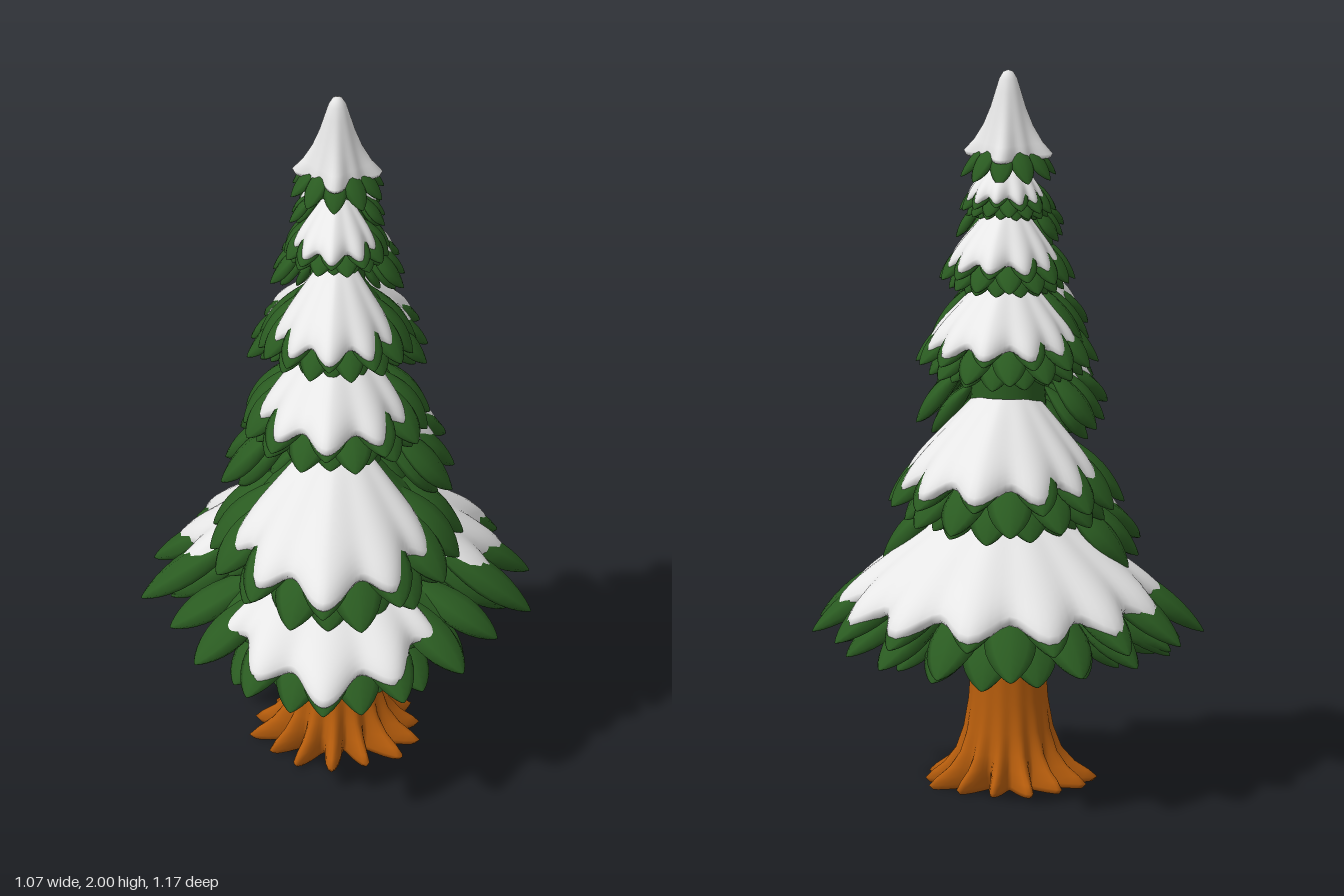
import * as THREE from 'three';
import { mergeVertices, mergeGeometries } from 'three/addons/utils/BufferGeometryUtils.js';

const rad = Math.PI / 180;
const mix = (a, b, t) => a + (b - a) * t;
const STEP = 24 * rad; // angle between neighbouring boughs

// Smooth surface from a rule giving a point for each row i and column j
function grid(ni, nj, point) {
  const pos = [], index = [];
  for (let i = 0; i <= ni; i++) for (let j = 0; j <= nj; j++) pos.push(...point(i / ni, j / nj));
  for (let i = 0; i < ni; i++) {
    for (let j = 0; j < nj; j++) {
      const a = i * (nj + 1) + j, b = a + 1, c = a + nj + 1, d = c + 1;
      index.push(a, b, c, b, d, c);
    }
  }
  let g = new THREE.BufferGeometry();
  g.setAttribute('position', new THREE.Float32BufferAttribute(pos, 3));
  g.setIndex(index);
  g = mergeVertices(g, 1e-4);
  g.computeVertexNormals();
  return g;
}

// Radius and height along a bough of a tier: t = 0 at the trunk, 1 at the tip
function bough(tier, phi, t) {
  const s = Math.pow(Math.sin(Math.min(Math.abs(phi), Math.PI / 2)), tier.round);
  const R = mix(tier.R, tier.sideR, s), yTip = mix(tier.y, tier.sideY, s);
  return [mix(0.12 * tier.R, R, t), mix(tier.top, yTip, t)];
}

// Pointed, ridged leaf following a bough
function leaf(tier, phi, width, start) {
  return grid(12, 8, (u, v) => {
    const q = Math.sin((u * Math.PI) / 2); // finer steps toward the tip
    const [r, y] = bough(tier, phi, mix(start, 1.02, q));
    const w = width * Math.pow(Math.max(0, Math.sin(Math.PI * Math.pow(mix(0.05, 1, q), 1.4))), 0.75);
    const a = v * 2 * Math.PI, side = w * Math.cos(a), up = Math.sin(a);
    const h = w * (up > 0 ? 0.5 * up ** 1.3 : 0.42 * up);
    const rr = r + h * 0.45;
    return [rr * Math.sin(phi) + side * Math.cos(phi), y + h, rr * Math.cos(phi) - side * Math.sin(phi)];
  });
}

// Thick fan-shaped sheet with a lobed rim lying over a tier
function fan(tier, { spread, from, reach, fall, lobe, thick, lift }) {
  return grid(72, 18, (u, v) => {
    const k = 2 * u - 1, phi = k * spread;
    const wave = Math.cos((2 * Math.PI * phi) / STEP);
    const ext = (reach - fall * Math.abs(k) ** 1.6) * (1 - lobe + lobe * wave);
    const taper = Math.sqrt(Math.max(0, 1 - k ** 12));
    const over = v < 0.65;
    const q = over ? Math.sin((v / 0.65) * Math.PI / 2) : 1 - (v - 0.65) / 0.35;
    const [r, y] = bough(tier, phi, mix(from, ext, q));
    const swell = thick * taper * Math.sqrt(Math.max(0, 1 - q ** 8));
    const h = over ? swell * (1 + 0.12 * wave * q) : -0.45 * swell * Math.min(1, q * 4);
    return [r * Math.sin(phi), y + h + lift, r * Math.cos(phi)];
  });
}

// Full ring of leaves around the trunk
function ring(R, y, top, count, width) {
  const tier = { R, sideR: R, y, sideY: y, top, round: 1 };
  const leaves = [];
  for (let i = 0; i < count; i++) leaves.push(leaf(tier, 0, width, 0.1).rotateY((i * 2 * Math.PI) / count));
  return mergeGeometries(leaves);
}

// Surface of revolution with a lobed radius; profile [radius, height, lobe depth] from top to bottom
function lobed(profile, segments, wave) {
  return grid(segments, profile.length - 1, (u, v) => {
    const [r, y, depth] = profile[Math.round(v * (profile.length - 1))];
    const a = u * 2 * Math.PI, rr = r * (1 + depth * wave(a));
    return [rr * Math.sin(a), y, rr * Math.cos(a)];
  });
}

export function createModel() {
  const green = new THREE.MeshStandardMaterial({ color: 0x2a5b21 });
  green.name = 'needle green';
  const white = new THREE.MeshStandardMaterial({ color: 0xe6e6e6 });
  white.name = 'snow white';
  const brown = new THREE.MeshStandardMaterial({ color: 0xb55c0c });
  brown.name = 'bark brown';

  const model = new THREE.Group();
  model.name = 'snowyFir';
  const add = (parent, name, geometry, material) => {
    const mesh = new THREE.Mesh(geometry, material);
    mesh.name = name;
    parent.add(mesh);
  };

  // Trunk flaring into pointed roots
  const roots = (a) => 0.85 * Math.cos(14 * a) + 0.15 * Math.cos(5 * a + 1);
  add(model, 'trunk', lobed([
    [0.1, 0.62, 0], [0.1, 0.45, 0.003], [0.102, 0.34, 0.006], [0.108, 0.24, 0.012], [0.12, 0.16, 0.03],
    [0.136, 0.1, 0.08], [0.155, 0.06, 0.18], [0.171, 0.035, 0.3], [0.178, 0.015, 0.38],
    [0.168, 0.002, 0.38], [0.1, 0, 0.3], [0, 0.01, 0],
  ], 140, roots), brown);

  // Green core hidden behind the boughs
  add(model, 'core', lobed([
    [0, 1.86, 0], [0.04, 1.82, 0], [0.065, 1.6, 0], [0.085, 1.3, 0], [0.11, 1.0, 0],
    [0.13, 0.7, 0], [0.13, 0.57, 0], [0.1, 0.5, 0], [0, 0.5, 0],
  ], 28, () => 0), green);

  // Tiers: tip radius and height, height at the trunk, side tip, snow half-angle, drop of the lower leaves
  const tiers = [
    ['front', 0.55, 0.365, 0.61, 0.46, 0.4, 50, 0.55],
    ['front', 0.57, 0.68, 0.9, 0.34, 0.63, 62, 1],
    ['front', 0.44, 1.1, 1.24, 0.25, 1.01, 62, 1],
    ['front', 0.33, 1.32, 1.47, 0.212, 1.24, 64, 1],
    ['front', 0.24, 1.59, 1.68, 0.142, 1.53, 62, 1],
    ['back', 0.575, 0.49, 0.765, 0.53, 0.44, 104, 1],
    ['back', 0.48, 0.86, 1.07, 0.315, 0.8, 90, 1],
    ['back', 0.35, 1.24, 1.4, 0.245, 1.19, 84, 1],
    ['back', 0.268, 1.47, 1.6, 0.182, 1.42, 80, 1],
    ['back', 0.173, 1.65, 1.74, 0.13, 1.61, 80, 1],
  ];
  // Leaf rows under each tier: radius factor, drop, leaf count
  const rows = [[1, 0, 9], [0.86, 0.1, 8], [0.64, 0.15, 7]];

  tiers.forEach(([face, R, y, top, sideR, sideY, snowAngle, dropScale]) => {
    const size = R / 0.57;
    const tier = { R, y, top, sideR, sideY, round: 1.3 };
    const group = new THREE.Group();
    group.name = face + 'Tier';
    if (face === 'back') group.rotation.y = Math.PI;

    const leaves = [];
    for (const [f, drop, count] of rows) {
      const d = drop * size * dropScale;
      const row = { ...tier, R: R * f, sideR: sideR * f, y: y - d, sideY: sideY - d * 0.5, top: top - d * 0.8 };
      for (let i = 0; i < count; i++) {
        leaves.push(leaf(row, (i - (count - 1) / 2) * STEP, 0.11 * R + 0.009, 0.3));
      }
    }
    add(group, 'leaves', mergeGeometries(leaves), green);
    add(group, 'boughSheet', fan(tier, {
      spread: 100 * rad, from: 0, reach: 0.8, fall: 0.05, lobe: 0.05, thick: 0.03 * size, lift: -0.012 * size,
    }), green);
    add(group, 'snow', fan(tier, {
      spread: snowAngle * rad, from: 0.13, reach: 1.01, fall: 0.22, lobe: 0.085,
      thick: 0.016 + 0.034 * size, lift: 0.006 + 0.006 * size,
    }), white);
    model.add(group);
  });

  // Leaves round the foot of the foliage, and leaves and snow cap at the top
  add(model, 'skirtLeaves', ring(0.2, 0.46, 0.62, 11, 0.06), green);
  add(model, 'crownLeaves', ring(0.13, 1.705, 1.83, 10, 0.033), green);
  add(model, 'snowCap', lobed([
    [0, 2, 0], [0.014, 1.994, 0], [0.025, 1.975, 0], [0.035, 1.94, 0.02], [0.047, 1.895, 0.05],
    [0.063, 1.845, 0.1], [0.081, 1.8, 0.18], [0.096, 1.77, 0.27], [0.092, 1.758, 0.27],
    [0.07, 1.77, 0.15], [0, 1.8, 0],
  ], 64, (a) => 0.7 * Math.cos(4 * a) + 0.3 * Math.cos(8 * a) - 0.1 * Math.cos(2 * a)), white);

  return model;
}
